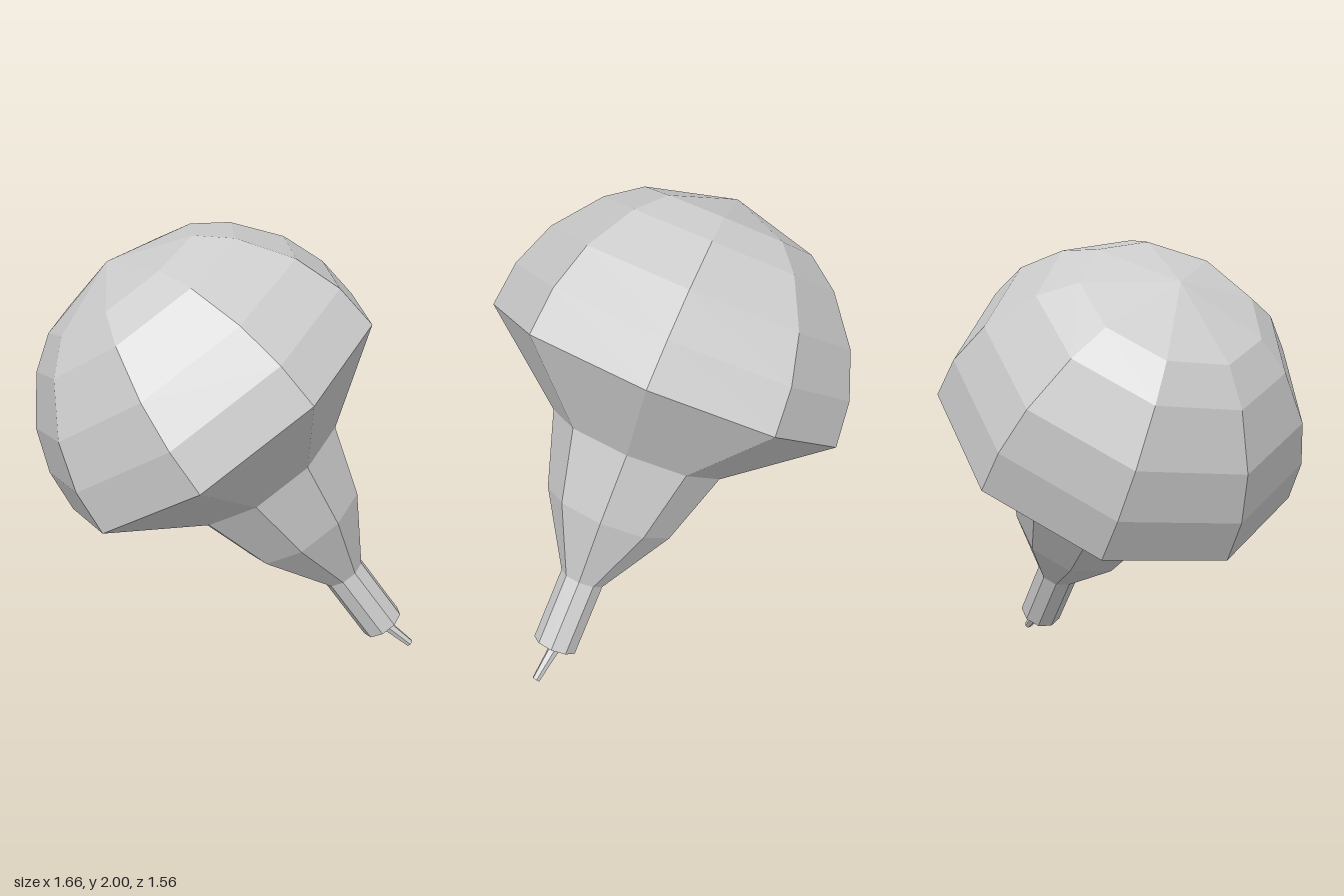
import * as THREE from 'three';

const SIDES = 9;
const R = 0.797;

export function createModel() {
  const group = new THREE.Group();
  const material = new THREE.MeshStandardMaterial({ color: 0xcccccc, flatShading: true, side: THREE.DoubleSide });

  // Body turned around a tilted axis; its origin is the centre of the widest ring
  const body = new THREE.Group();
  body.name = 'body';
  const axis = new THREE.Vector3(-0.562, 0.8155, 0.138).normalize();
  const out = new THREE.Vector3(0.823, 0.568, 0.002);
  const across = new THREE.Vector3().crossVectors(axis, out).normalize();
  out.crossVectors(across, axis);
  body.quaternion.setFromRotationMatrix(new THREE.Matrix4().makeBasis(across, axis, out));
  body.position.set(-0.058, 1.211, -0.003);
  group.add(body);

  // Profiles run from bottom to top as [radius, height]
  const turn = (name, profile) => {
    const points = profile.map(([r, y]) => new THREE.Vector2(r, y));
    const mesh = new THREE.Mesh(new THREE.LatheGeometry(points, SIDES), material);
    mesh.name = name;
    body.add(mesh);
  };

  // Rounded cap
  const dome = [0, 14.5, 30, 48.3, 61.2].map((deg) => {
    const a = THREE.MathUtils.degToRad(deg);
    return [R * Math.cos(a), R * Math.sin(a)];
  });
  turn('dome', [...dome, [0, R]]);

  // Tapering underside and open stem
  turn('neck', [[0.1, -0.99], [0.293, -0.66], [0.395, -0.33], [R, 0]]);
  turn('stem', [[0.1, -1.323], [0.1, -0.99]]);

  // Thin prong leaning out of the stem
  const start = new THREE.Vector3(0.62, 0.185, -0.178);
  const end = new THREE.Vector3(0.817, 0.016, -0.223);
  const dir = end.clone().sub(start);
  const prong = new THREE.Mesh(new THREE.CylinderGeometry(0.018, 0.032, dir.length(), 6), material);
  prong.name = 'prong';
  prong.position.copy(start).add(end).multiplyScalar(0.5);
  prong.quaternion.setFromUnitVectors(new THREE.Vector3(0, 1, 0), dir.normalize());
  group.add(prong);

  return group;
}
